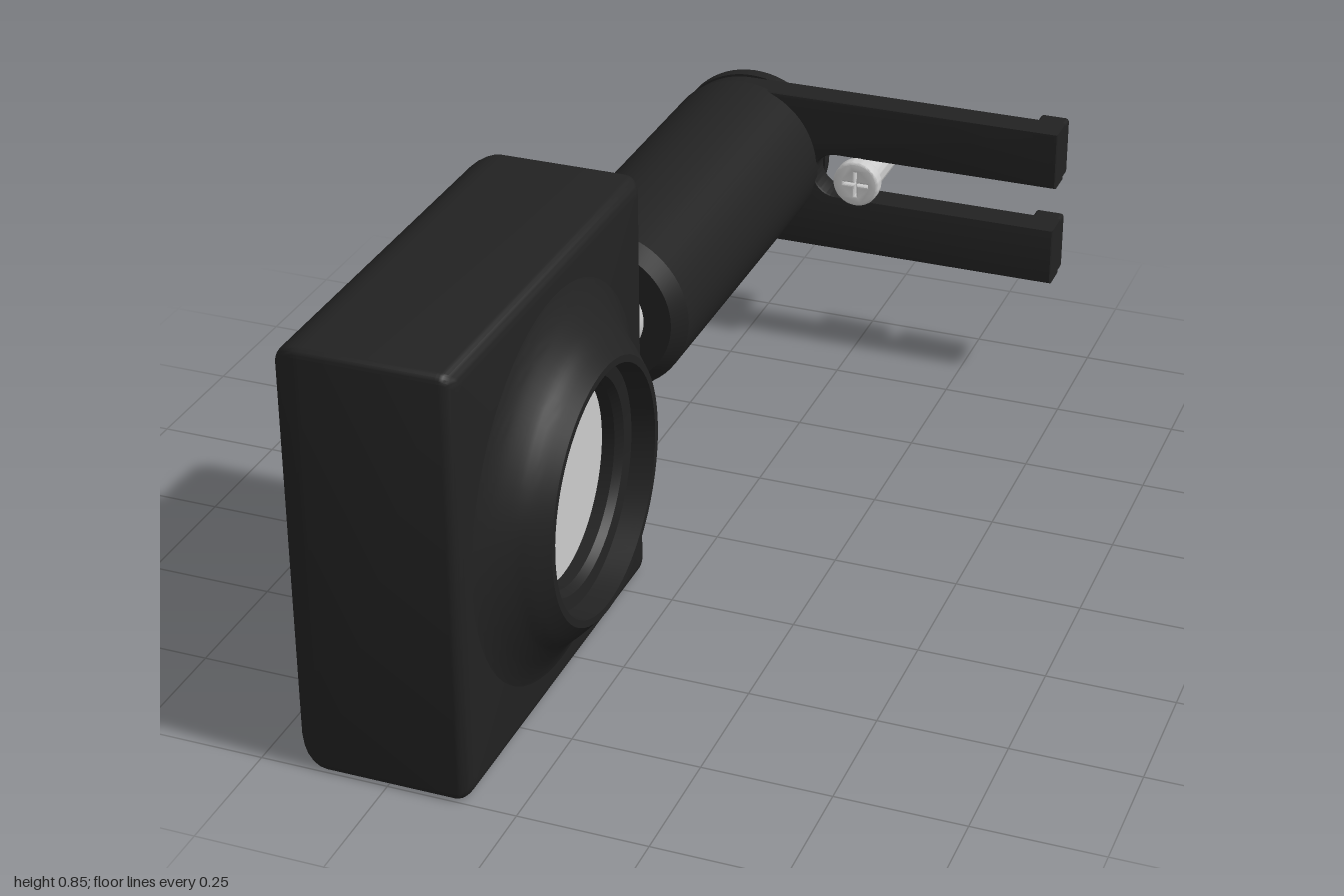
import * as THREE from 'three';
import { toCreasedNormals } from 'three/addons/utils/BufferGeometryUtils.js';
import { RoundedBoxGeometry } from 'three/addons/geometries/RoundedBoxGeometry.js';

const black = new THREE.MeshStandardMaterial({ color: 0x222222 });
const grey = new THREE.MeshStandardMaterial({ color: 0xcccccc });

function add(parent, name, geometry, material, x = 0, y = 0, z = 0) {
  const mesh = new THREE.Mesh(geometry, material);
  mesh.name = name;
  mesh.position.set(x, y, z);
  parent.add(mesh);
  return mesh;
}

// Turned part; points are [radius, position along the axis]
function turned(points, axis) {
  const g = new THREE.LatheGeometry(points.map(p => new THREE.Vector2(...p)), 64);
  if (axis === 'x') g.rotateZ(-Math.PI / 2);
  else g.rotateX(Math.PI / 2);
  return toCreasedNormals(g, 0.5);
}

// Box lofted along x, with its back and front edges rounded by different radii
function housingGeometry(x0, x1, halfY, halfZ, backR, frontR, cornerR) {
  const sections = [];
  const steps = 8;
  for (let i = 0; i <= steps; i++) {
    const a = (i / steps) * Math.PI / 2;
    sections.push([x0 + backR * (1 - Math.cos(a)), backR * (1 - Math.sin(a))]);
  }
  for (let i = 0; i <= steps; i++) {
    const a = (i / steps) * Math.PI / 2;
    sections.push([x1 - frontR * (1 - Math.sin(a)), frontR * (1 - Math.cos(a))]);
  }
  const pos = [], idx = [], per = 5, n = per * 4;
  for (const [x, inset] of sections) {
    for (let c = 0; c < 4; c++) {
      const sy = c === 0 || c === 3 ? 1 : -1, sz = c < 2 ? 1 : -1;
      for (let k = 0; k < per; k++) {
        const a = (c + k / (per - 1)) * Math.PI / 2;
        pos.push(x,
          sy * (halfY - inset - cornerR) + cornerR * Math.cos(a),
          sz * (halfZ - inset - cornerR) + cornerR * Math.sin(a));
      }
    }
  }
  const last = sections.length - 1;
  for (let s = 0; s < last; s++) {
    for (let i = 0; i < n; i++) {
      const a = s * n + i, b = s * n + (i + 1) % n;
      idx.push(a, b, a + n, b, b + n, a + n);
    }
  }
  // flat end caps
  pos.push(x0, 0, 0, x1, 0, 0);
  const back = (last + 1) * n, front = back + 1;
  for (let i = 0; i < n; i++) {
    const j = (i + 1) % n;
    idx.push(back, j, i, front, last * n + i, last * n + j);
  }
  const g = new THREE.BufferGeometry();
  g.setAttribute('position', new THREE.Float32BufferAttribute(pos, 3));
  g.setIndex(idx);
  return toCreasedNormals(g, 0.5);
}

export function createModel() {
  const model = new THREE.Group();
  model.name = 'eyepieceOnClampArm';
  const cy = 0.427, cz = 0.577, px = -0.268;

  // Square housing with a flared eyecup on its +x side
  add(model, 'housing', housingGeometry(-0.445, -0.09, 0.427, 0.423, 0.075, 0.03, 0.015),
    black, 0, cy, cz);
  const flare = new THREE.SplineCurve([
    [0.385, -0.093], [0.365, -0.086], [0.335, -0.07], [0.302, -0.045], [0.28, -0.022], [0.25, 0.005],
  ].map(p => new THREE.Vector2(...p))).getPoints(20).map(p => [p.x, p.y]);
  add(model, 'eyecup', turned([
    ...flare, [0.236, 0.005], [0.23, -0.04], [0.205, -0.045], [0.195, -0.06], [0.195, -0.092],
  ], 'x'), black, 0, cy, cz);
  add(model, 'lens', new THREE.CircleGeometry(0.196, 64).rotateY(Math.PI / 2),
    grey, -0.085, cy, cz);

  // Metal rod joining the housing to the grip
  add(model, 'rod', new THREE.CylinderGeometry(0.09, 0.09, 0.26, 48).rotateX(Math.PI / 2),
    grey, px, 0.425, 0.05);
  add(model, 'grip', turned([
    [0, -0.87], [0.175, -0.87], [0.175, -0.088], [0.148, -0.06], [0, -0.06],
  ], 'z'), black, px, 0.425, 0);

  // Forked clamp plate with a round end and a slot
  const clamp = new THREE.Group();
  clamp.name = 'clamp';
  model.add(clamp);
  const b = 0.006, top = 0.59, bottom = 0.238, mid = 0.414, slot = 0.048, tip = 0.441;
  const r = (top - bottom) / 2;
  const plate = new THREE.Shape();
  plate.moveTo(tip - b, top - b);
  plate.lineTo(px, top - b);
  plate.absarc(px, mid, r - b, Math.PI / 2, Math.PI * 1.5, false);
  plate.lineTo(tip - b, bottom + b);
  plate.lineTo(tip - b, mid - slot - b);
  plate.lineTo(-0.05, mid - slot - b);
  plate.absarc(-0.05, mid, slot + b, Math.PI * 1.5, Math.PI / 2, true);
  plate.lineTo(tip - b, mid + slot + b);
  plate.closePath();
  add(clamp, 'forkPlate', toCreasedNormals(new THREE.ExtrudeGeometry(plate, {
    depth: 0.065 - 2 * b, bevelSize: b, bevelThickness: b, bevelSegments: 3, curveSegments: 32,
  }), 0.5), black, 0, 0, -0.925 + b);
  add(clamp, 'endDisc', turned([
    [0, -0.955], [0.168, -0.955], [0.175, -0.948], [0.175, -0.92], [0, -0.92],
  ], 'z'), black, px, 0.42, 0);
  const armHeight = r - slot;
  for (const s of [1, -1]) {
    add(clamp, s > 0 ? 'upperHook' : 'lowerHook',
      new RoundedBoxGeometry(0.062, armHeight, 0.095, 3, 0.008),
      black, tip - 0.031, mid + s * (slot + armHeight / 2), -0.9075);
  }

  // Screw with a cross recess, held in the slot
  const screw = new THREE.Group();
  screw.name = 'screw';
  screw.position.set(0.005, mid, 0);
  model.add(screw);
  const headOutline = new THREE.Shape();
  headOutline.absarc(0, 0, 0.046, 0, Math.PI * 2, false);
  const w = 0.007, l = 0.032, cross = [];
  for (let i = 0; i < 4; i++) {
    const c = Math.round(Math.cos(i * Math.PI / 2)), s = Math.round(Math.sin(i * Math.PI / 2));
    for (const [x, y] of [[l, -w], [l, w], [w, w]]) {
      cross.push(new THREE.Vector2(c * x - s * y, s * x + c * y));
    }
  }
  headOutline.holes.push(new THREE.Path(cross.reverse()));
  add(screw, 'screwHead', toCreasedNormals(new THREE.ExtrudeGeometry(headOutline, {
    depth: 0.02, bevelSize: 0.005, bevelThickness: 0.005, bevelSegments: 3, curveSegments: 24,
  }), 0.6), grey, 0, 0, -0.859);
  add(screw, 'screwShank', turned([
    [0, -1], [0.036, -1], [0.041, -0.995], [0.041, -0.85], [0, -0.85],
  ], 'z'), grey);

  return model;
}
